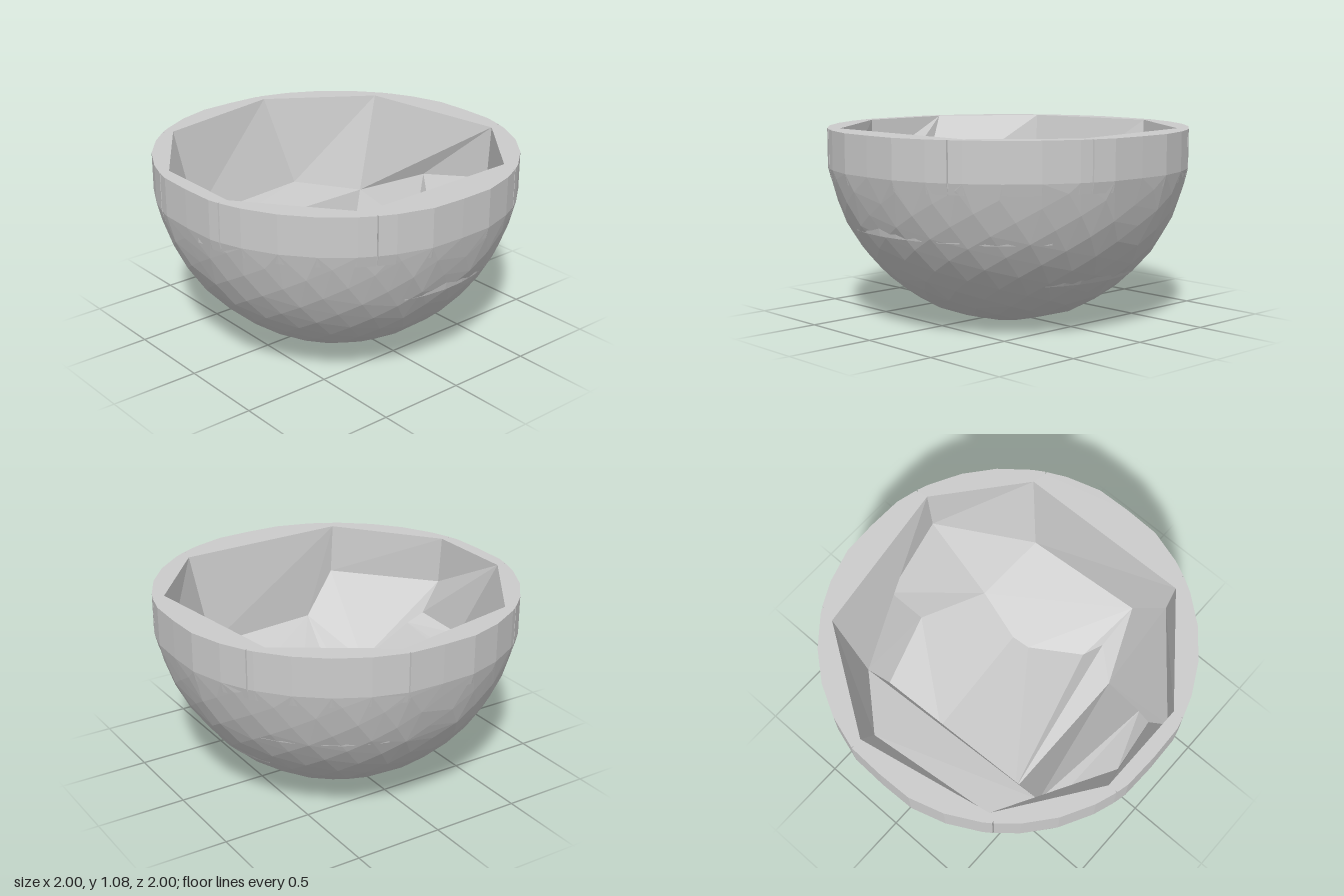
import * as THREE from 'three';
import { ConvexGeometry } from 'three/addons/geometries/ConvexGeometry.js';

const TOP = 1.075;
const SHOULDER = 0.86;
const material = new THREE.MeshStandardMaterial({ color: 0xcccccc, flatShading: true, side: THREE.DoubleSide });

// Corner points of the chipped hollow: r = rim, l = foot of the wall, others = ledges and floor
const P = {
  r0: [0.2, TOP, -0.93], r1: [-0.56, TOP, -0.78], r2: [-0.92, TOP, -0.27], r3: [-0.92, TOP, 0.26],
  r4: [-0.49, TOP, 0.81], r5: [0.51, TOP, 0.79], r6: [0.89, TOP, 0.33], r7: [0.77, TOP, -0.55],
  l0: [0.31, 0.55, -0.78], l1: [-0.5, 0.55, -0.69], l2: [-0.84, 0.58, -0.04], l3: [-0.8, 0.62, 0.27],
  l4: [-0.47, 0.79, 0.8], l5: [0.42, 0.53, 0.72], l6: [0.87, 0.77, 0.33], s: [0.79, 0.68, -0.12],
  a: [-0.62, 0.53, -0.45], b: [0.62, 0.5, -0.51], p: [-0.28, 0.54, 0.77], m: [-0.91, 0.8, 0.27],
  q1: [-0.7, 0.54, -0.32], q2: [-0.71, 0.56, 0.31],
  f1: [-0.44, 0.29, -0.44], g: [0.14, 0.26, -0.44], f2: [0.53, 0.32, -0.45], f3: [0.65, 0.38, -0.04],
  f4: [0.49, 0.33, 0.34], f5: [0.19, 0.265, 0.26], f6: [-0.21, 0.33, 0.43], f7: [-0.27, 0.4, 0.53],
  f8: [-0.44, 0.34, 0.39], h: [0.08, 0.265, 0.27],
};
const rimCorners = ['r0', 'r1', 'r2', 'r3', 'r4', 'r5', 'r6', 'r7'];

// Outside radius by height
const profile = [
  [0, 0.2], [0.055, 0.4], [0.16, 0.58], [0.285, 0.72], [0.4, 0.815], [0.54, 0.9],
  [0.69, 0.957], [0.8, 0.985], [SHOULDER, 1], [TOP, 1],
];
function radiusAt(y) {
  const i = Math.max(1, profile.findIndex(([height]) => height >= y));
  const [[y0, r0], [y1, r1]] = [profile[i - 1], profile[i]];
  return THREE.MathUtils.mapLinear(y, y0, y1, r0, r1);
}

// Point on the outside, slightly flattened on the four sides
function outerPoint(angle, y, inset = 0) {
  const flat = 1 / Math.max(Math.abs(Math.sin(angle)), Math.abs(Math.cos(angle)));
  const r = radiusAt(y) * Math.min(1.013, flat) - inset;
  return new THREE.Vector3(r * Math.sin(angle), y, r * Math.cos(angle));
}

function makeMesh(name, geometry) {
  const mesh = new THREE.Mesh(geometry, material);
  mesh.name = name;
  return mesh;
}

function meshFrom(name, positions) {
  const geometry = new THREE.BufferGeometry();
  geometry.setAttribute('position', new THREE.Float32BufferAttribute(positions, 3));
  geometry.computeVertexNormals();
  return makeMesh(name, geometry);
}

// Each string lists the corners of one polygon, which is split as a fan
function facets(name, polygons) {
  const out = [];
  for (const polygon of polygons) {
    const c = polygon.split(' ').map((key) => P[key]);
    for (let i = 1; i < c.length - 1; i++) out.push(...c[0], ...c[i], ...c[i + 1]);
  }
  return meshFrom(name, out);
}

// Irregularly faceted bowl: hull of spiralling points, without the lid
function bowlShell() {
  const points = [];
  for (let i = 0; i < 12; i++) points.push(outerPoint((i * Math.PI) / 6, 0));
  for (let i = 0; i < 32; i++) points.push(outerPoint((i * Math.PI) / 16, SHOULDER));
  const count = 230;
  for (let i = 0; i < count; i++) points.push(outerPoint((i * 2.39996) % (2 * Math.PI), 0.03 + (0.8 * (i + 0.5)) / count));

  const hull = new ConvexGeometry(points).getAttribute('position').array;
  const out = [];
  for (let i = 0; i < hull.length; i += 9) {
    const triangle = hull.slice(i, i + 9);
    if (Math.min(triangle[1], triangle[4], triangle[7]) < SHOULDER - 0.001) out.push(...triangle);
  }
  return meshFrom('bowlShell', out);
}

// Rings of the upright top band, with narrow cracks between the pieces
function bandRings() {
  const columns = [];
  for (let i = 0; i < 32; i++) columns.push([(i * Math.PI) / 16, 0]);
  for (const degrees of [29.4, 71.4, 121.5, 168.5, 217, 254.5, 285, 331.9]) {
    const angle = THREE.MathUtils.degToRad(degrees);
    columns.push([angle - 0.004, 0], [angle, 0.015], [angle + 0.004, 0]);
  }
  columns.sort((u, v) => u[0] - v[0]);
  return [0.8, SHOULDER, TOP].map((y) => columns.map(([angle, inset]) => outerPoint(angle, y, inset)));
}

function topBand(rings) {
  const out = [];
  const n = rings[0].length;
  for (let j = 0; j < rings.length - 1; j++) {
    for (let i = 0; i < n; i++) {
      const k = (i + 1) % n;
      const [a, b, c, d] = [rings[j][i], rings[j][k], rings[j + 1][k], rings[j + 1][i]];
      for (const v of [a, b, c, a, c, d]) out.push(v.x, v.y, v.z);
    }
  }
  return meshFrom('topBand', out);
}

// Thin overhanging edge where one piece meets the next
function seam([y, from, to]) {
  const start = THREE.MathUtils.degToRad(from);
  const length = THREE.MathUtils.degToRad(to - from);
  const lip = [
    new THREE.Vector2(radiusAt(y) - 0.03, y - 0.005),
    new THREE.Vector2(radiusAt(y) + 0.007, y),
    new THREE.Vector2(radiusAt(y + 0.06) - 0.004, y + 0.06),
  ];
  return makeMesh('seam', new THREE.LatheGeometry(lip, Math.ceil((to - from) / 8), start, length));
}

// Flat rim between the outline and the hollow
function rim(outline) {
  const shape = new THREE.Shape(outline.map((v) => new THREE.Vector2(v.x, -v.z)));
  shape.holes.push(new THREE.Path(rimCorners.map((k) => new THREE.Vector2(P[k][0], -P[k][2]))));
  return makeMesh('rim', new THREE.ShapeGeometry(shape).rotateX(-Math.PI / 2).translate(0, TOP, 0));
}

export function createModel() {
  const group = new THREE.Group();
  group.name = 'hewnBowl';
  const rings = bandRings();
  group.add(
    bowlShell(),
    topBand(rings),
    rim(rings[2]),
    facets('innerWalls', [
      'r0 r1 l1 l0', 'r1 r2 l2 a l1', 'r2 r3 m l3 l2', 'r3 r4 l4 m',
      'r4 r5 l5 p l4', 'r5 r6 l6 l5', 'r6 r7 b s l6', 'r7 r0 l0 b',
    ]),
    facets('backLedge', ['l0 l1 a b', 'a f1 g f2 b']),
    facets('sideShelf', ['l2 l3 q2 q1', 'a l2 q1', 'a q1 q2 f8 f1']),
    facets('lowerSlopes', [
      'f8 q2 l3 m l4', 'f8 l4 p f7', 'p f6 f7', 'p l5 f4 f5 h f6', 'l5 l6 f4', 'b f2 f3 s', 's f3 f4 l6',
    ]),
    facets('floor', ['f1 f8 f7 f6', 'f1 f6 h f5 g', 'g f5 f4 f3 f2']),
  );
  // Height, then start and end angle counted from the front towards +x
  const seams = [[0.54, -17, 31], [0.535, 32, 61], [0.655, 105, 121], [0.535, 122, 165], [0.805, 275, 331], [0.285, 62, 118]];
  group.add(...seams.map(seam));
  return group;
}
